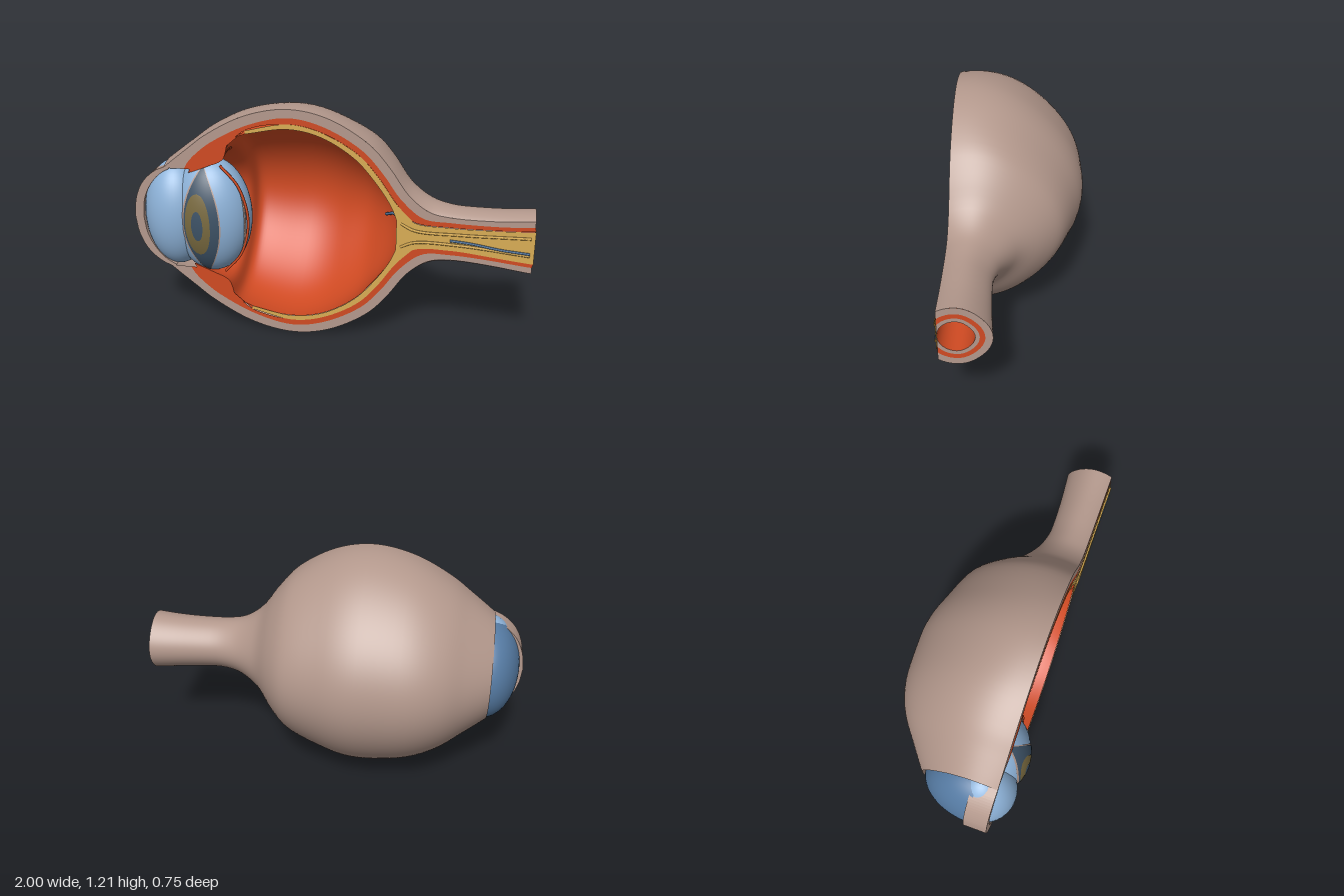
import * as THREE from 'three';
import { ParametricGeometry } from 'three/addons/geometries/ParametricGeometry.js';

const CUT = 0.288; // plane of the cutaway
const END = 0.995; // end of the nerve

const mat = (name, color) => {
  const m = new THREE.MeshStandardMaterial({ color, side: THREE.DoubleSide });
  m.name = name;
  return m;
};

// Axis of the eyeball: set back towards the front and the nerve
const { smoothstep, lerp } = THREE.MathUtils;
const axisY = (x) => 0.607 - 0.015 * smoothstep(x, 0.5, 1);
const axisZ = (x) => 0.235 - 0.05 * smoothstep(x, 0, 0.3) + 0.02 * smoothstep(x, 0.42, 0.65)
  - 0.055 * smoothstep(-x, 0.2, 0.6);

// Point on the ring that meets the cut plane at height h either side of the axis
function ringPoint(x, h, u, target) {
  const d = CUT - axisZ(x);
  const r = Math.hypot(Math.max(h, 0), d);
  const start = Math.acos(Math.min(1, d / r));
  const a = start + u * (2 * Math.PI - 2 * start);
  // slightly flattened diagonals behind the axis
  const k = Math.cos(a) < 0 ? r * (1 - 0.045 * Math.sin(2 * a) ** 2) : r;
  target.set(x, axisY(x) + k * Math.sin(a), axisZ(x) + k * Math.cos(a));
}

const spline = (pts) => new THREE.CatmullRomCurve3(pts.map(([x, h]) => new THREE.Vector3(x, h, 0)));

function surface(fn, nu, nv) {
  const g = new ParametricGeometry(fn, nu, nv);
  g.computeVertexNormals();
  return g;
}

// Profiles: [x, half height on the cut plane]
const outer = [[-0.83, 0.268], [-0.79, 0.302], [-0.7, 0.375], [-0.6, 0.453], [-0.4, 0.56], [-0.19, 0.603], [0, 0.57],
  [0.2, 0.455], [0.3, 0.345], [0.4, 0.205], [0.5, 0.13], [0.6, 0.112], [0.8, 0.117], [END, 0.137]];
const scleraInner = [[-0.72, 0.27], [-0.7, 0.305], [-0.65, 0.358], [-0.57, 0.42], [-0.385, 0.515], [-0.19, 0.56], [-0.02, 0.527],
  [0.17, 0.42], [0.27, 0.31], [0.36, 0.185], [0.47, 0.095], [0.6, 0.085], [0.8, 0.09], [END, 0.105]];
const choroidInner = [[-0.69, 0.27], [-0.66, 0.29], [-0.6, 0.33], [-0.5, 0.4], [-0.4, 0.488], [-0.19, 0.53], [-0.03, 0.5],
  [0.15, 0.4], [0.25, 0.29], [0.34, 0.16], [0.42, 0.075], [0.6, 0.06], [0.8, 0.07], [1, 0.085]];
const cavity = [[-0.7, 0.25], [-0.6, 0.29], [-0.52, 0.33], [-0.48, 0.43], [-0.4, 0.47], [-0.19, 0.505], [-0.03, 0.475],
  [0.13, 0.38], [0.23, 0.27], [0.31, 0.15], [0.35, 0.05], [0.37, 0]];
const rimOuter = [[-1, 0], [-0.985, 0.1], [-0.945, 0.185], [-0.88, 0.247], [-0.81, 0.28]];
const rimInner = [[-0.955, 0], [-0.94, 0.1], [-0.9, 0.18], [-0.85, 0.235], [-0.8, 0.265]];

export function createModel() {
  const group = new THREE.Group();
  group.name = 'eyeCrossSection';

  const beige = mat('scleraBeige', 0xb3988c);
  const orange = mat('tissueOrange', 0xd04a22);
  const yellow = mat('retinaYellow', 0xd8ac54);
  const lightBlue = mat('lensBlue', 0x8db2d8);
  const midBlue = mat('corneaBlue', 0x557aa2);
  const navy = mat('irisNavy', 0x3d5266);
  const olive = mat('irisOlive', 0x78693f);

  const add = (name, geo, material) => {
    const m = new THREE.Mesh(geo, material);
    m.name = name;
    group.add(m);
    return m;
  };

  // Revolved shell that stops at the cut plane
  const shell = (name, pts, material) => {
    const c = spline(pts), p = new THREE.Vector3();
    add(name, surface((u, v, t) => {
      c.getPoint(v, p);
      ringPoint(p.x, p.y, u, t);
    }, 72, 64), material);
  };

  // Flat layer on the cut plane between two profiles, above and below the axis
  const band = (name, a, b, material, z = CUT) => {
    const ca = spline(a), cb = spline(b), p = new THREE.Vector3(), q = new THREE.Vector3();
    for (const s of [1, -1]) {
      add(name, surface((u, v, t) => {
        ca.getPoint(u, p).lerp(cb.getPoint(u, q), s > 0 ? 1 - v : v);
        t.set(p.x, axisY(p.x) + s * p.y, z);
      }, 80, 1), material);
    }
  };

  const tube = (name, pts, radius, material) => {
    const c = new THREE.CatmullRomCurve3(pts.map((p) => new THREE.Vector3(...p)));
    add(name, new THREE.TubeGeometry(c, 32, radius, 6), material);
  };

  // Eyeball wall and hollow
  shell('scleraShell', outer, beige);
  shell('cavityWall', cavity, orange);

  // Layers on the cut face
  band('scleraSection', outer, scleraInner, beige);
  band('choroidSection', scleraInner, choroidInner, orange);
  band('ciliarySection', choroidInner.slice(0, 5), cavity.slice(0, 5), orange);
  band('retinaSection', choroidInner.slice(4, 11), cavity.slice(4, 11), yellow, CUT + 0.002);
  const core = choroidInner.slice(9);
  band('nerveCore', core, core.map(([x]) => [x, 0]), yellow, CUT + 0.004);

  // Cornea: dark half dome behind, crescent rim beside the cut
  const dome = add('corneaWindow', new THREE.SphereGeometry(1, 40, 32, Math.PI, Math.PI), midBlue);
  dome.scale.set(0.18, 0.278, 0.285);
  dome.position.set(-0.8, 0.607, 0.19);
  const side = (pts, s) => spline(pts).getPoints(24).map((p) => new THREE.Vector2(p.x, axisY(p.x) + s * p.y));
  const crescent = new THREE.Shape([
    ...side(rimOuter, 1).reverse(), ...side(rimOuter, -1).slice(1),
    ...side(rimInner, -1).reverse(), ...side(rimInner, 1).slice(1)]);
  const rim = new THREE.ExtrudeGeometry(crescent, { depth: CUT - 0.17, bevelEnabled: false });
  add('corneaRim', rim.translate(0, 0, 0.17), beige);

  // Front chamber and lens bulge out through the cut
  const ball = (name, cx, rx, ry, material) => {
    const m = add(name, new THREE.SphereGeometry(1, 48, 32), material);
    m.scale.set(rx, ry, 0.17);
    m.position.set(cx, 0.608, 0.2);
  };
  const LX = -0.62, LRX = 0.21, LRY = 0.31;
  ball('frontChamber', -0.8, 0.165, 0.285, lightBlue);
  ball('lens', LX, LRX, LRY, lightBlue);

  // Thin patches lying on the lens
  const patch = (name, cx, w, h, pointed, lift, material) => {
    add(name, surface((u, v, t) => {
      const k = 2 * v - 1;
      const half = w * (pointed ? 1 - k * k : Math.sqrt(Math.max(0, 1 - k * k)));
      const x = cx + (2 * u - 1) * half, y = k * h;
      const q = 1 - ((x - LX) / LRX) ** 2 - (y / LRY) ** 2;
      t.set(x, 0.608 + y, 0.2 + 0.17 * Math.sqrt(Math.max(0, q)) + lift);
    }, 20, 40), material);
  };
  patch('irisEdge', -0.627, 0.1, 0.295, true, 0.003, beige);
  patch('irisDisc', -0.625, 0.092, 0.288, true, 0.005, navy);
  patch('irisRing', -0.642, 0.066, 0.165, false, 0.007, olive);
  patch('pupil', -0.642, 0.03, 0.08, false, 0.009, navy);

  // Fibres around the back of the lens
  [[-0.408, orange], [-0.425, beige]].forEach(([x, m], i) => {
    tube('lensFibre', [[-0.54, 0.9, 0.27], [-0.45, 0.79, 0.27], [x, 0.61, 0.27], [-0.45, 0.43, 0.27], [-0.54, 0.32, 0.27]], 0.007 - 0.002 * i, m);
  });

  // Nerve end: concentric rings around an open canal
  const cap = (name, h1, h2, material) => add(name, surface((u, v, t) => {
    ringPoint(END, lerp(h1, h2, v), u, t);
  }, 48, 2), material);
  cap('nerveSheathEnd', 0.137, 0.095, beige);
  cap('nerveMiddleEnd', 0.095, 0.06, orange);
  cap('nerveInnerEnd', 0.06, 0, beige);
  shell('nerveCanal', [[END, 0], [0.9, 0], [0.8, 0]], orange);

  // Discs closing the canal and the hollow
  const disc = (name, x, r, dir, material) => {
    const m = add(name, new THREE.CircleGeometry(r, 32), material);
    m.rotation.y = dir * Math.PI / 2;
    m.position.set(x, axisY(x), axisZ(x));
  };
  disc('canalEnd', 0.8, 0.084, 1, orange);
  disc('canalCore', 0.805, 0.025, 1, yellow);
  disc('hollowEnd', 0.369, CUT - axisZ(0.369), -1, orange);

  // Strands along the nerve and small vessels
  for (const k of [-0.7, 0.7]) {
    tube('nerveStrand', [[0.36, 0.607 + k * 0.09, CUT], [0.43, 0.607 + k * 0.045, CUT + 0.006],
      [0.65, 0.605 + k * 0.04, CUT + 0.006], [0.98, 0.595 + k * 0.065, CUT + 0.006]], 0.007, yellow);
  }
  tube('nerveVessel', [[0.6, 0.6, CUT + 0.007], [0.7, 0.592, CUT + 0.007], [0.85, 0.57, CUT + 0.007], [0.98, 0.56, CUT + 0.007]], 0.006, midBlue);
  tube('wallVessel', [[0.35, 0.61, 0.2], [0.3, 0.6, 0.02], [0.25, 0.565, -0.05]], 0.008, midBlue);

  return group;
}
